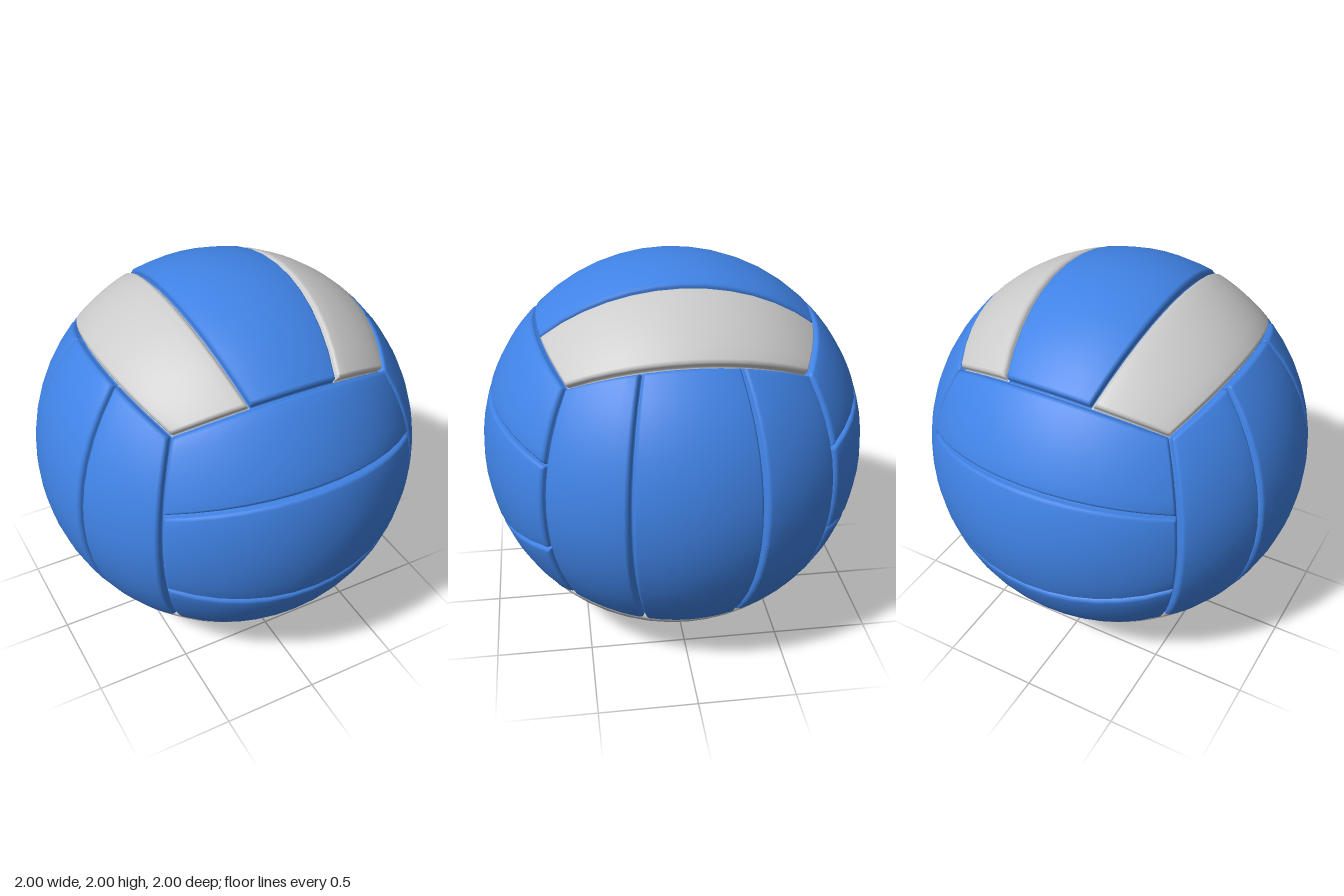
import * as THREE from 'three';

const blue = new THREE.MeshStandardMaterial({ color: 0x4083e6 });
const grey = new THREE.MeshStandardMaterial({ color: 0xcccccc });

// Panel rim from the seam inwards: [angle from the panel border, radius]
const RIM = [[0, 0.96], [0.008, 0.962], [0.01, 0.982], [0.016, 0.993], [0.03, 1]];

// Angles across a panel: rim rows, even interior rows, mirrored rim rows
function rows(from, to, segments) {
  const inset = RIM[RIM.length - 1][0];
  const list = RIM.map(([d]) => from + d);
  for (let i = 1; i < segments; i++) {
    list.push(THREE.MathUtils.lerp(from + inset, to - inset, i / segments));
  }
  return list.concat(RIM.map(([d]) => to - d).reverse());
}

// Raised panel bounded by great circles; along x split = normal
function panelGeometry(normal, along, split, from, to) {
  const A = rows(-Math.PI / 4, Math.PI / 4, 12);
  const B = rows(from, to, 6);
  const positions = [];
  const indices = [];
  const p = new THREE.Vector3();
  A.forEach((a, i) => B.forEach((b, j) => {
    const ring = Math.min(i, A.length - 1 - i, j, B.length - 1 - j, RIM.length - 1);
    p.copy(normal).addScaledVector(along, Math.tan(a)).addScaledVector(split, Math.tan(b));
    p.setLength(RIM[ring][1]);
    positions.push(p.x, p.y, p.z);
    if (i && j) {
      const d = i * B.length + j;
      const c = d - B.length;
      indices.push(c - 1, d - 1, d, c - 1, d, c);
    }
  }));
  const geometry = new THREE.BufferGeometry();
  geometry.setAttribute('position', new THREE.Float32BufferAttribute(positions, 3));
  geometry.setIndex(indices);
  geometry.computeVertexNormals();
  return geometry;
}

export function createModel() {
  const ball = new THREE.Group();
  ball.name = 'ball';
  ball.position.y = 1;

  const X = new THREE.Vector3(1, 0, 0);
  const Y = new THREE.Vector3(0, 1, 0);
  const Z = new THREE.Vector3(0, 0, 1);
  const third = Math.atan(1 / 3);
  const borders = [-Math.PI / 4, -third, third, Math.PI / 4];

  // Six sides of three strips; the strip direction turns from side to side
  const sides = [
    { names: ['top', 'bottom'], normal: Y, along: Z, split: X, outer: grey },
    { names: ['front', 'back'], normal: Z, along: X, split: Y, outer: blue },
    { names: ['left', 'right'], normal: X, along: Y, split: Z, outer: blue },
  ];
  for (const { names, normal, along, split, outer } of sides) {
    names.forEach((name, k) => {
      const sign = k ? -1 : 1;
      const side = new THREE.Group();
      side.name = name + 'Panels';
      for (let s = 0; s < 3; s++) {
        const geometry = panelGeometry(
          normal.clone().multiplyScalar(sign), along.clone().multiplyScalar(sign),
          split, borders[s], borders[s + 1]);
        const panel = new THREE.Mesh(geometry, s === 1 ? blue : outer);
        panel.name = name + (s === 1 ? 'MiddlePanel' : 'OuterPanel');
        side.add(panel);
      }
      ball.add(side);
    });
  }

  const model = new THREE.Group();
  model.name = 'volleyball';
  model.add(ball);
  return model;
}
